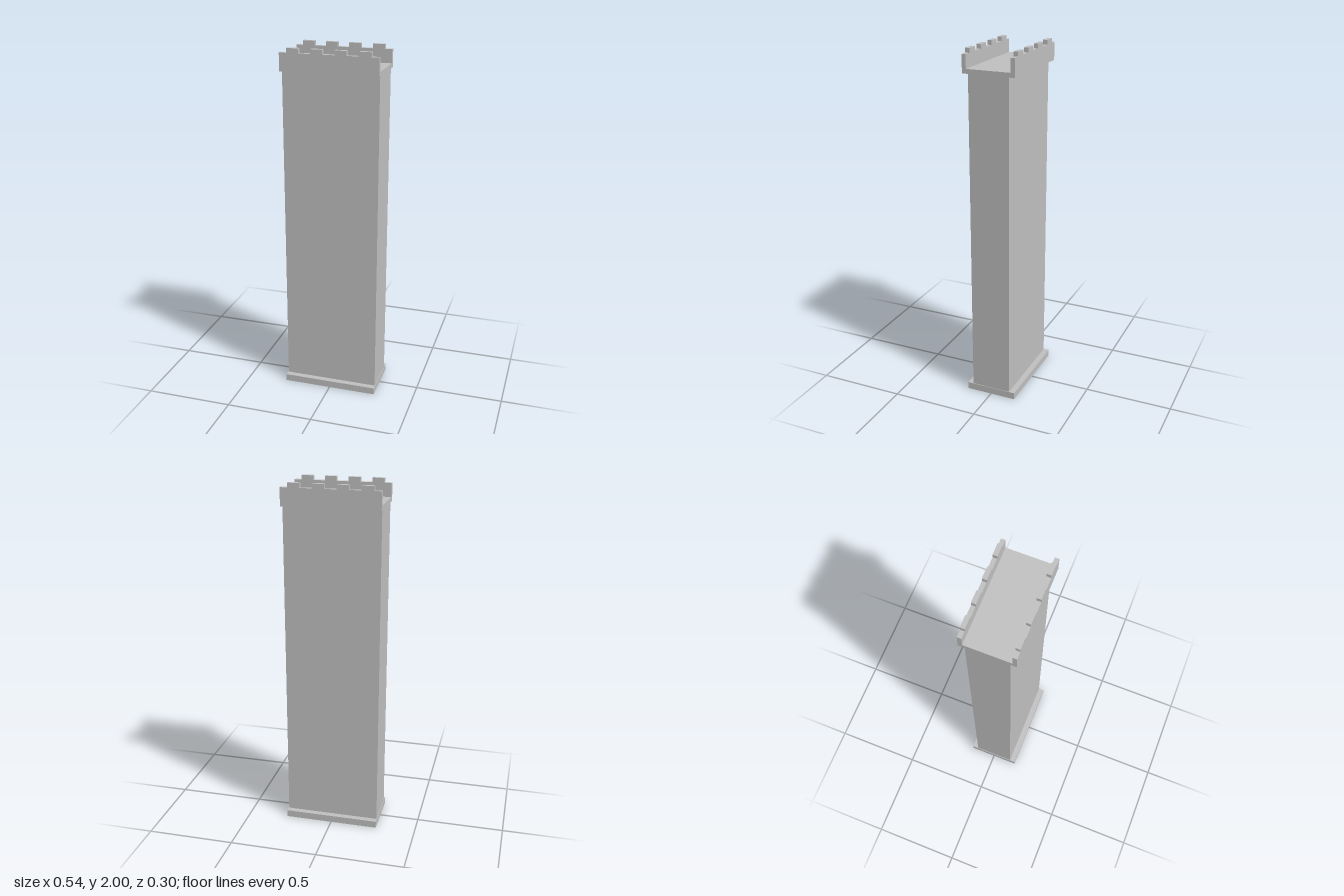
import * as THREE from 'three';

export function createModel() {
  const tower = new THREE.Group();
  tower.name = 'tower';
  const stone = new THREE.MeshStandardMaterial({ color: 0xc0c0c0 });
  stone.name = 'greyStone';

  // Box given by its width, bottom and top heights, depth and centre
  function block(name, w, y0, y1, d, x = 0, z = 0) {
    const mesh = new THREE.Mesh(new THREE.BoxGeometry(w, y1 - y0, d), stone);
    mesh.name = name;
    mesh.position.set(x, (y0 + y1) / 2, z);
    tower.add(mesh);
  }

  // Plinth, shaft and walkway slab
  block('plinth', 0.544, 0, 0.04, 0.296);
  block('shaft', 0.538, 0.04, 1.875, 0.23);
  block('walkway', 0.544, 1.875, 1.9, 0.296);

  // Crenellated parapets along the front and back
  for (const side of [1, -1]) {
    const name = side > 0 ? 'front' : 'back';
    block(name + 'Parapet', 0.544, 1.9, 1.975, 0.023, 0, side * 0.1365);
    for (let i = 0; i < 4; i++) {
      block(name + 'Merlon' + (i + 1), 0.066, 1.975, 2, 0.025, -0.199 + i * 0.1323, side * 0.1355);
    }
  }
  return tower;
}
